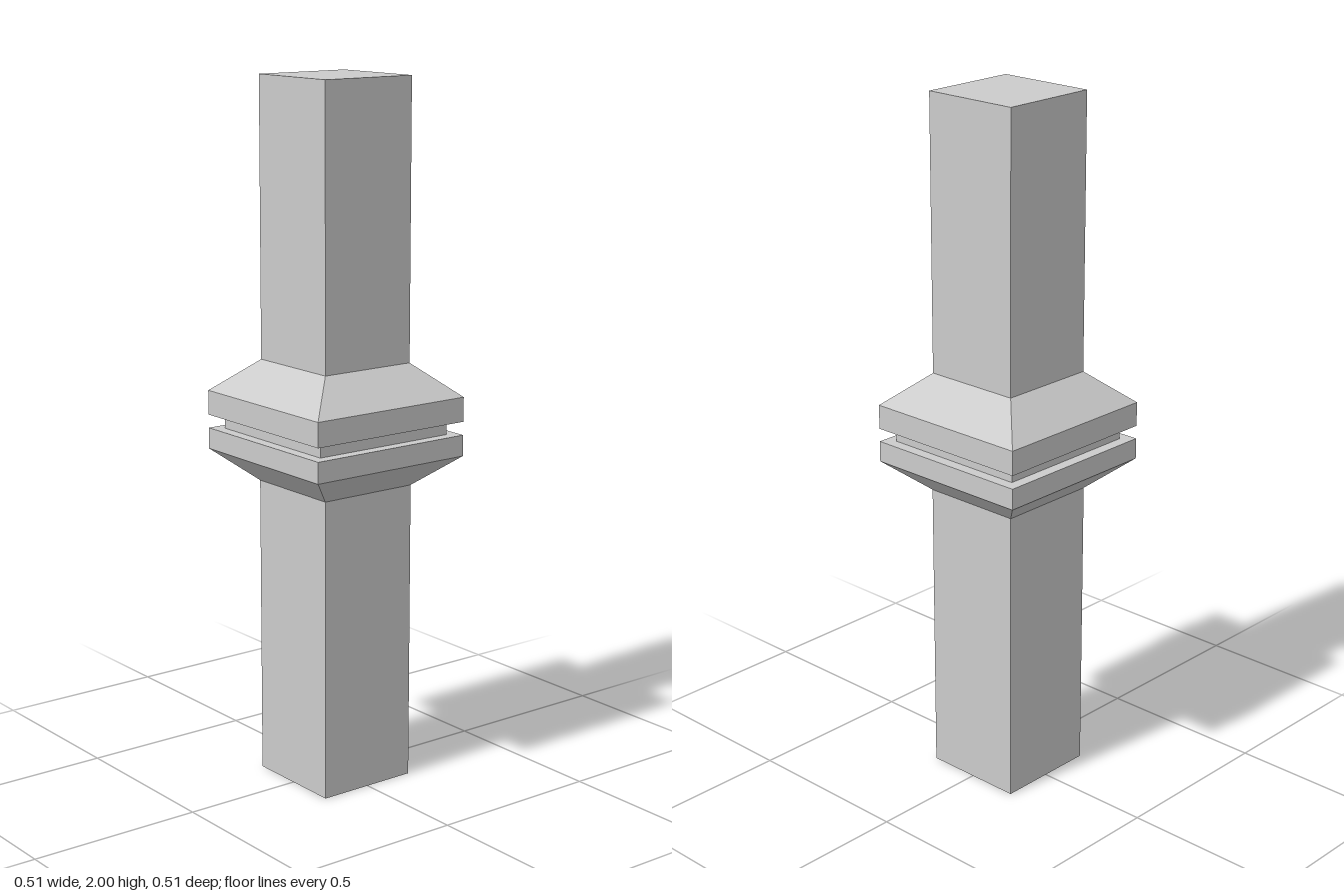
import * as THREE from 'three';

const material = new THREE.MeshStandardMaterial({ color: 0xcccccc, flatShading: true });

// Square-section solid from a bottom-to-top profile of [half width, height]
function squareSection(name, profile) {
  const points = profile.map(([half, y]) => new THREE.Vector2(half * Math.SQRT2, y));
  const geometry = new THREE.LatheGeometry(points, 4, Math.PI / 4).toNonIndexed();
  geometry.computeVertexNormals();
  const mesh = new THREE.Mesh(geometry, material);
  mesh.name = name;
  return mesh;
}

export function createModel() {
  const group = new THREE.Group();
  group.name = 'collaredPost';

  const lower = 0.151, upper = 0.147, flange = 0.254, neck = 0.221;

  group.add(
    // Lower post, closed at the foot
    squareSection('lowerPost', [[0, 0], [lower, 0], [lower, 0.864]]),
    // Lower collar flares outward, then steps in to the neck
    squareSection('lowerCollar', [[lower, 0.864], [flange, 0.952], [flange, 1.012], [neck, 1.012]]),
    // Recessed band between the collars
    squareSection('neck', [[neck, 1.012], [neck, 1.05]]),
    // Upper collar steps out and tapers to the upper post
    squareSection('upperCollar', [[neck, 1.05], [flange, 1.05], [flange, 1.12], [upper, 1.213]]),
    // Upper post, closed at the top
    squareSection('upperPost', [[upper, 1.213], [upper, 2], [0, 2]])
  );
  return group;
}
